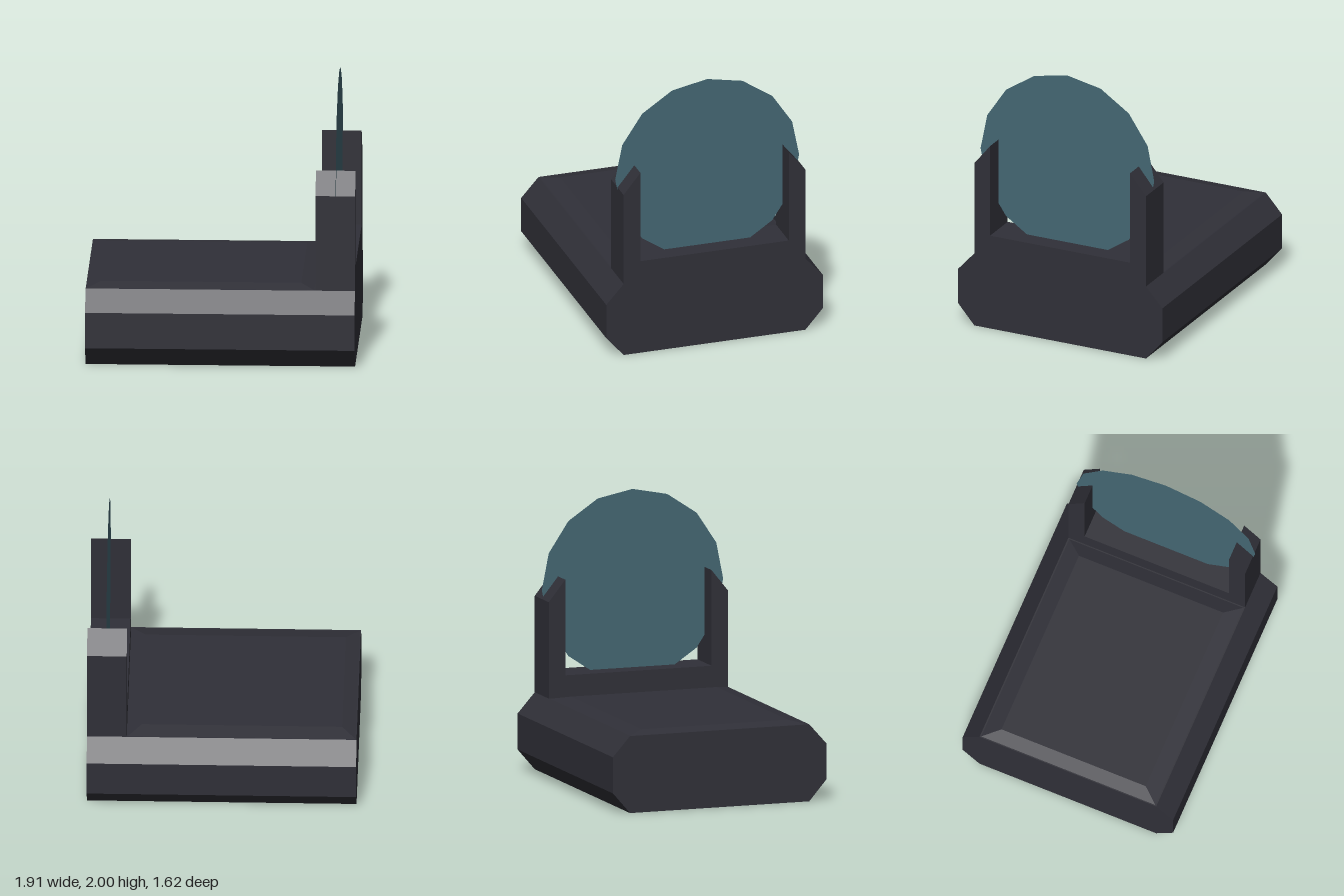
import * as THREE from 'three';

// Extrudes a [z, y] outline (symmetric in z) along x, from x0 to x1
function extrudeAlongX(points, x0, x1) {
  const shape = new THREE.Shape(points.map(([z, y]) => new THREE.Vector2(z, y)));
  const geo = new THREE.ExtrudeGeometry(shape, { depth: x1 - x0, bevelEnabled: false });
  return geo.rotateY(Math.PI / 2).translate(x0, 0, 0);
}

// Completes a +z half outline, listed bottom to top, with its mirror image
const mirrored = (half) => [...half, ...half.map(([z, y]) => [-z, y]).reverse()];

export function createModel() {
  const housing = new THREE.MeshStandardMaterial({ color: 0x303038, flatShading: true });
  housing.name = 'darkHousing';
  const tinted = new THREE.MeshStandardMaterial({ color: 0x446773, side: THREE.DoubleSide });
  tinted.name = 'tintedGlass';

  const group = new THREE.Group();
  const add = (name, geometry, material) => {
    const mesh = new THREE.Mesh(geometry, material);
    mesh.name = name;
    group.add(mesh);
  };

  // Chamfered base block
  add('base', extrudeAlongX(mirrored([[0.68, 0], [0.81, 0.15], [0.81, 0.41], [0.68, 0.555]]), -0.957, 0.957), housing);

  // Shallow top panel: a box whose upper corners are drawn inwards
  const panel = new THREE.BoxGeometry(1.632, 0.026, 1.36);
  const pos = panel.attributes.position;
  for (let i = 0; i < pos.count; i++) {
    if (pos.getY(i) > 0) {
      pos.setX(i, pos.getX(i) - 0.105 * Math.sign(pos.getX(i)));
      pos.setZ(i, pos.getZ(i) - 0.125 * Math.sign(pos.getZ(i)));
    }
  }
  panel.computeVertexNormals();
  add('topPanel', panel.translate(-0.141, 0.566, 0), housing);

  // U-shaped lens frame: sill with two slanted posts
  add('lensFrame', extrudeAlongX(mirrored([[0.68, 0.553], [0.68, 1.25], [0.555, 1.405], [0.555, 0.715]]), 0.675, 0.957), housing);

  // Flat sixteen-sided lens, a corner pointing straight up
  add('lens', new THREE.CircleGeometry(0.688, 16).rotateY(Math.PI / 2).translate(0.82, 1.312, 0.01), tinted);

  return group;
}
